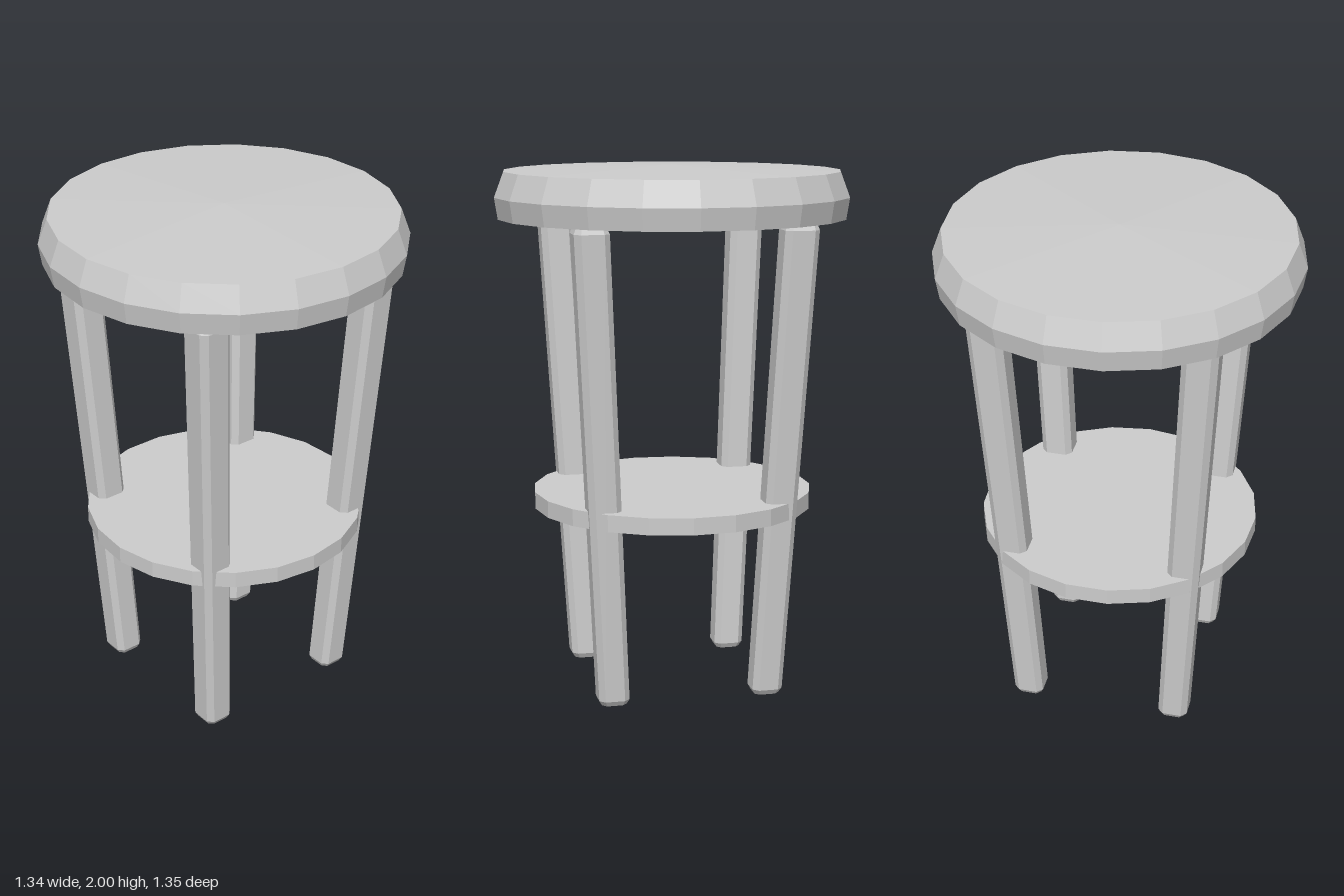
import * as THREE from 'three';

const SIDES = 21;

// Give every face its own flat normal
function faceted(geometry) {
  const flat = geometry.index ? geometry.toNonIndexed() : geometry;
  flat.computeVertexNormals();
  return flat;
}

// Faceted round part with its first corner on +x; profile is [radius, y] from the bottom up
function roundPart(profile) {
  const points = profile.map(([r, y]) => new THREE.Vector2(r, y));
  return faceted(new THREE.LatheGeometry(points, SIDES, Math.PI / 2));
}

// Square leg with bevelled edges, splayed towards (sx, sz)
function legGeometry(sx, sz) {
  // y, centre offset, half width, bevel
  const sections = [
    [0, 0.297, 0.047, 0.017],
    [0.02, 0.298, 0.058, 0.021],
    [1.78, 0.387, 0.065, 0.023],
    [1.8, 0.388, 0.056, 0.018],
  ];
  const rings = sections.map(([y, c, h, b]) => {
    const k = h - b;
    // Counter-clockwise when seen from above
    return [[h, k], [h, -k], [k, -h], [-k, -h], [-h, -k], [-h, k], [-k, h], [k, h]]
      .map(([x, z]) => [sx * c + x, y, sz * c + z]);
  });
  const out = [];
  const tri = (a, b, c) => out.push(...a, ...b, ...c);
  const last = rings[rings.length - 1];
  for (let r = 0; r < rings.length - 1; r++) {
    for (let i = 0; i < 8; i++) {
      const j = (i + 1) % 8;
      tri(rings[r][i], rings[r][j], rings[r + 1][j]);
      tri(rings[r][i], rings[r + 1][j], rings[r + 1][i]);
    }
  }
  for (let i = 1; i < 7; i++) {
    tri(rings[0][0], rings[0][i + 1], rings[0][i]);
    tri(last[0], last[i], last[i + 1]);
  }
  const geometry = new THREE.BufferGeometry();
  geometry.setAttribute('position', new THREE.Float32BufferAttribute(out, 3));
  return faceted(geometry);
}

export function createModel() {
  const stool = new THREE.Group();
  stool.name = 'stool';
  const material = new THREE.MeshStandardMaterial({ color: 0xcccccc });
  material.name = 'light grey';

  const add = (name, geometry) => {
    const mesh = new THREE.Mesh(geometry, material);
    mesh.name = name;
    mesh.position.x = -0.004; // centres the odd-sided seat
    stool.add(mesh);
  };

  // Seat with a sloped rim and a very slightly domed top
  add('seat', roundPart([[0, 1.803], [0.663, 1.803], [0.676, 1.884], [0.64, 1.979], [0, 2]]));

  // Round shelf between the legs
  add('shelf', roundPart([[0, 0.695], [0.538, 0.695], [0.538, 0.759], [0, 0.759]]));

  // Four splayed legs
  for (const [sx, side] of [[1, 'Left'], [-1, 'Right']]) {
    for (const [sz, end] of [[1, 'front'], [-1, 'back']]) {
      add(`${end}${side}Leg`, legGeometry(sx, sz));
    }
  }
  return stool;
}
